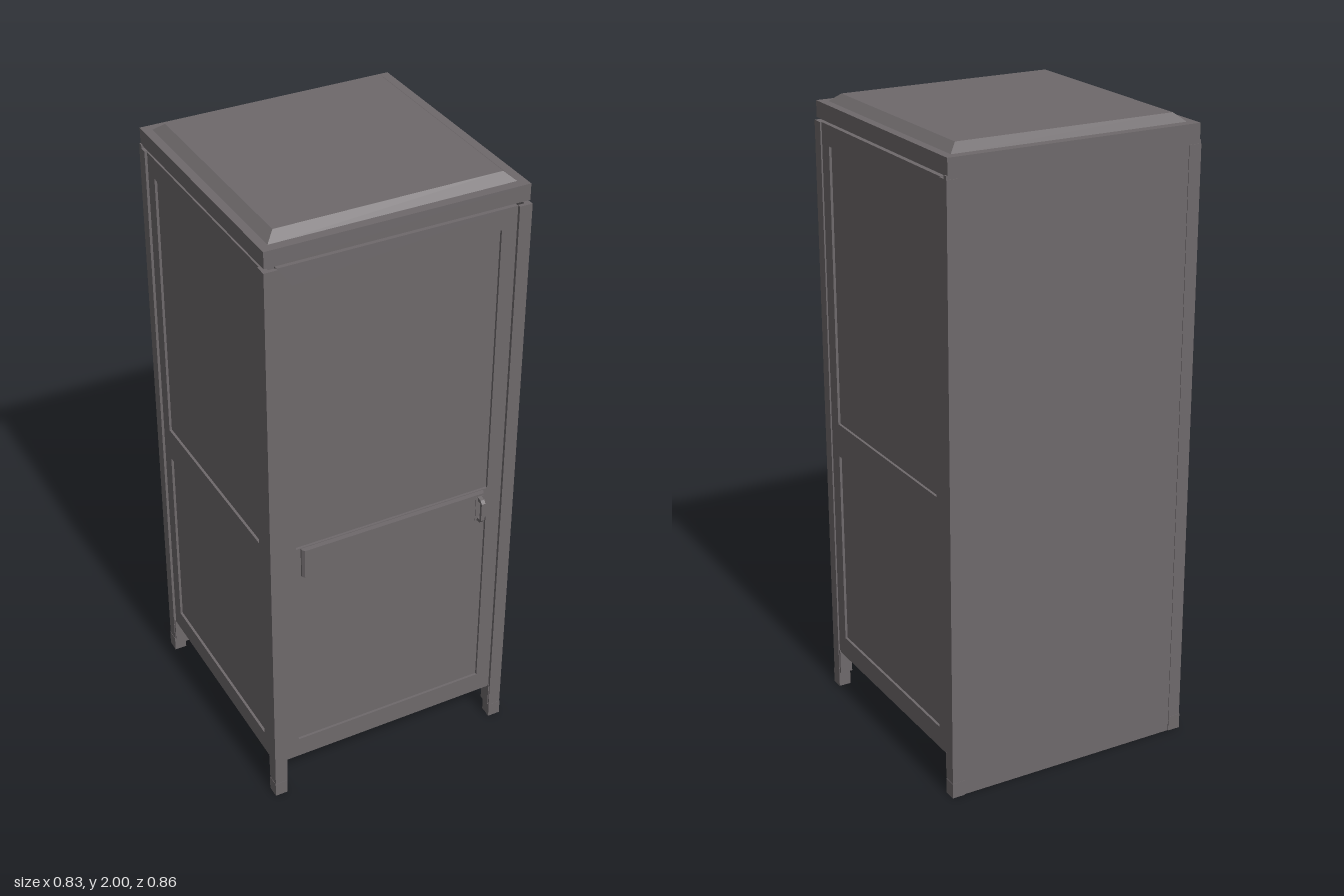
import * as THREE from 'three';

const steel = new THREE.MeshStandardMaterial({ color: 0x6e696b });
steel.name = 'greySteel';

function add(parent, name, geometry) {
  const mesh = new THREE.Mesh(geometry, steel);
  mesh.name = name;
  parent.add(mesh);
  return mesh;
}

// box given by its lower and upper bounds
function box(parent, name, x0, x1, y0, y1, z0, z1) {
  const mesh = add(parent, name, new THREE.BoxGeometry(x1 - x0, y1 - y0, z1 - z0));
  mesh.position.set((x0 + x1) / 2, (y0 + y1) / 2, (z0 + z1) / 2);
  return mesh;
}

function rectangle(PathType, x0, x1, y0, y1) {
  const p = new PathType();
  p.moveTo(x0, y0);
  p.lineTo(x1, y0);
  p.lineTo(x1, y1);
  p.lineTo(x0, y1);
  p.closePath();
  return p;
}

function extrude(shape, depth) {
  return new THREE.ExtrudeGeometry(shape, { depth, bevelEnabled: false });
}

// upright frame with two shallow recessed fields, outer face at z = 0
function panelledWall(name, x0, x1, top, fieldX0, fieldX1) {
  const wall = new THREE.Group();
  wall.name = name;
  const shape = rectangle(THREE.Shape, x0, x1, 0.13, top);
  const fields = [[0.2, 0.85], [0.96, 1.85]];
  for (const [y0, y1] of fields) {
    shape.holes.push(rectangle(THREE.Path, fieldX0, fieldX1, y0, y1));
    box(wall, 'recessedPanel', fieldX0 - 0.004, fieldX1 + 0.004, y0 - 0.004, y1 + 0.004, -0.018, -0.008);
  }
  add(wall, 'frame', extrude(shape, 0.014)).position.z = -0.014;
  // folded lip along the lower edge
  box(wall, 'lowerLip', x0, x1, 0.13, 0.14, -0.03, -0.013);
  return wall;
}

// frustum with a rectangular base and an evenly inset top
function bevelledPlate(w, h, d, inset) {
  const g = new THREE.BoxGeometry(w, h, d);
  const p = g.attributes.position;
  for (let i = 0; i < p.count; i++) {
    if (p.getY(i) > 0) {
      p.setX(i, p.getX(i) - Math.sign(p.getX(i)) * inset);
      p.setZ(i, p.getZ(i) - Math.sign(p.getZ(i)) * inset);
    }
  }
  g.computeVertexNormals();
  return g;
}

export function createModel() {
  const cabinet = new THREE.Group();
  cabinet.name = 'cabinet';

  // door and two side walls around an open-bottomed shell
  const door = panelledWall('door', -0.372, 0.372, 1.915, -0.327, 0.323);
  door.position.z = 0.388;
  cabinet.add(door);

  for (const s of [-1, 1]) {
    const wall = panelledWall(s > 0 ? 'leftWall' : 'rightWall', -0.385, 0.385, 1.915,
      s > 0 ? -0.311 : -0.34, s > 0 ? 0.34 : 0.311);
    wall.rotation.y = s * Math.PI / 2;
    wall.position.x = s * 0.409;
    cabinet.add(wall);
  }

  // back sheet down to the ground
  box(cabinet, 'backPanel', -0.414, 0.414, 0, 1.926, -0.429, -0.415);

  // folded corner posts ending in feet
  for (const s of [-1, 1]) {
    for (const f of [-1, 1]) {
      const post = new THREE.Group();
      post.name = f > 0 ? 'frontPost' : 'backPost';
      const corner = new THREE.Shape();
      const cz = f > 0 ? 0.396 : 0.431;
      const pts = [[0, 0], [0.041, 0], [0.041, 0.012], [0.012, 0.012], [0.012, 0.038], [0, 0.038]]
        .map(([a, b]) => new THREE.Vector2(s * (0.414 - a), -f * (cz - b)));
      corner.setFromPoints(pts);
      add(post, 'angle', extrude(corner, 1.915)).rotation.x = -Math.PI / 2;
      const x0 = s > 0 ? 0.375 : -0.415;
      const z0 = f > 0 ? 0.356 : -0.432;
      box(post, 'foot', x0, x0 + 0.04, 0, 0.05, z0, z0 + 0.041);
      const xs = s > 0 ? 0.37 : -0.412;
      const zs = f > 0 ? 0.35 : -0.428;
      box(post, 'footSocket', xs, xs + 0.042, 0.05, 0.135, zs, zs + 0.042);
      cabinet.add(post);
    }
  }

  // low base box at the rear with slanted ends
  const base = new THREE.Shape();
  base.setFromPoints([[-0.34, 0.42], [0.34, 0.42], [0.305, 0.28], [-0.31, 0.28]]
    .map(([x, y]) => new THREE.Vector2(x, y)));
  add(cabinet, 'rearBase', extrude(base, 0.128)).rotation.x = -Math.PI / 2;

  // lid floating just above the walls, with a bevelled top
  box(cabinet, 'lid', -0.41, 0.41, 1.924, 1.975, -0.429, 0.389);
  add(cabinet, 'lidTop', bevelledPlate(0.768, 0.026, 0.76, 0.03)).position.set(0, 1.987, -0.02);

  // raised lock bar across the door
  const bar = new THREE.Shape();
  bar.setFromPoints([[-0.312, 0.38], [0.307, 0.38], [0.307, 0.394], [0.301, 0.404], [-0.306, 0.404], [-0.312, 0.394]]
    .map(([x, z]) => new THREE.Vector2(x, -z)));
  const barMesh = add(cabinet, 'lockBar', extrude(bar, 0.1));
  barMesh.rotation.x = -Math.PI / 2;
  barMesh.position.y = 0.858;

  // loop handle with slanted corners
  const grip = new THREE.Shape();
  grip.setFromPoints([[0.4, 0.862], [0.422, 0.866], [0.43, 0.876], [0.43, 0.938], [0.422, 0.948], [0.4, 0.952]]
    .map(([z, y]) => new THREE.Vector2(-z, y)));
  grip.holes.push(rectangle(THREE.Path, -0.421, -0.405, 0.876, 0.938));
  const handle = add(cabinet, 'handle', extrude(grip, 0.013));
  handle.rotation.y = Math.PI / 2;
  handle.position.x = 0.28;
  box(cabinet, 'handlePlate', 0.274, 0.3, 0.864, 0.95, 0.4, 0.406);

  return cabinet;
}
